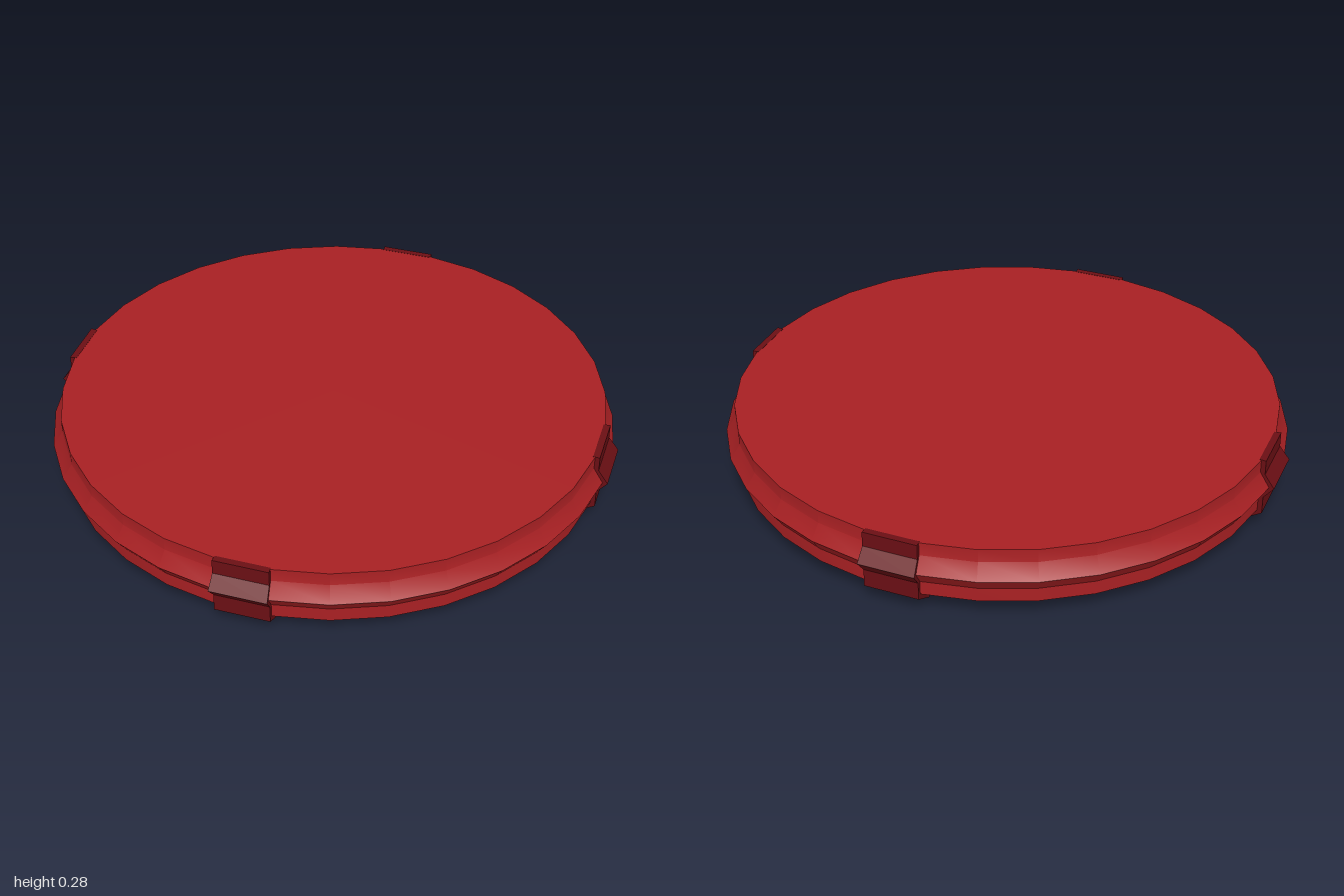
import * as THREE from 'three';
import { mergeGeometries, toCreasedNormals } from 'three/addons/utils/BufferGeometryUtils.js';

const SIDES = 32;
const STEP = (Math.PI * 2) / SIDES;
const points = (list) => list.map(([r, y]) => new THREE.Vector2(r, y));

// One-facet wedge of a closed profile, with flat caps on both sides
function wedge(profile, start) {
  const parts = [new THREE.LatheGeometry([...profile, profile[0]], 1, start, STEP)];
  for (const angle of [start, start + STEP]) {
    const cap = new THREE.ShapeGeometry(new THREE.Shape(profile));
    cap.rotateY(angle - Math.PI / 2);
    parts.push(cap);
  }
  return mergeGeometries(parts.map((g) => g.toNonIndexed()));
}

export function createModel() {
  const model = new THREE.Group();
  model.name = 'lid';

  // Disc with a pointed ridge around the rim and a chamfered underside
  const discProfile = points([
    [0, 0.02], [0.86, 0.02], [0.965, 0.075], [0.965, 0.125],
    [1, 0.175], [0.965, 0.228], [0.965, 0.276], [0, 0.276],
  ]);
  const disc = new THREE.Mesh(
    toCreasedNormals(new THREE.LatheGeometry(discProfile, SIDES), 0.6),
    new THREE.MeshStandardMaterial({ color: 0xa82023 })
  );
  disc.name = 'disc';
  model.add(disc);

  // Four clips that follow the rim and hook under the disc
  const clipProfile = points([
    [0.86, 0.021], [0.88, 0], [0.982, 0.065], [0.982, 0.13],
    [1.018, 0.175], [0.982, 0.223], [0.982, 0.277], [0.958, 0.277],
    [0.958, 0.08],
  ]);
  const clipMaterial = new THREE.MeshStandardMaterial({
    color: 0x6b0f14, flatShading: true, side: THREE.DoubleSide,
  });
  for (let i = 0; i < 4; i++) {
    const clip = new THREE.Mesh(wedge(clipProfile, 2 * STEP + (i * Math.PI) / 2), clipMaterial);
    clip.name = `rimClip${i + 1}`;
    model.add(clip);
  }

  return model;
}
